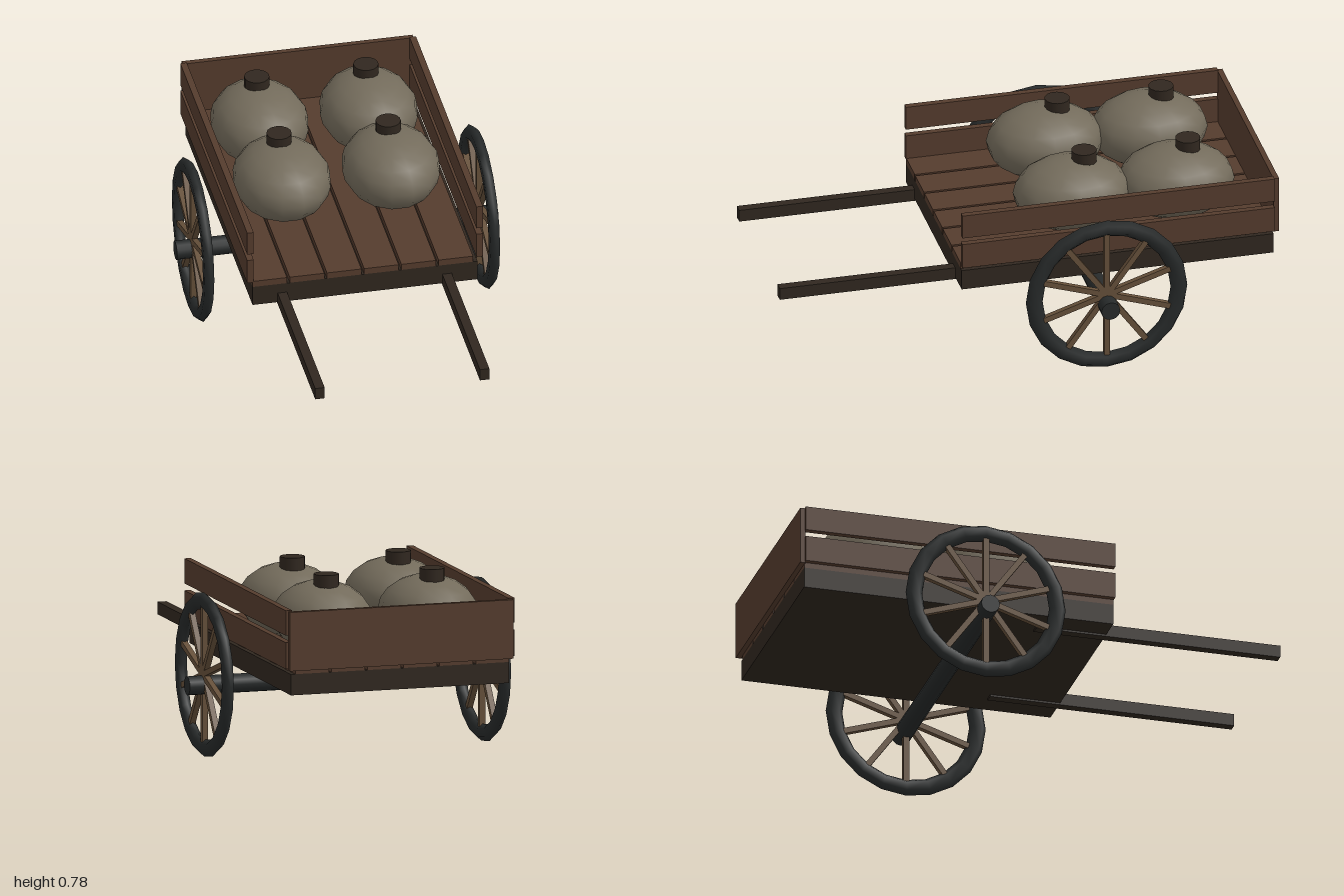
import * as THREE from 'three';

const mat = (color) => new THREE.MeshStandardMaterial({ color });

export function createModel() {
  const cart = new THREE.Group();
  cart.name = 'handCart';

  const wood = mat(0x553c2d);
  const darkWood = mat(0x30271f);
  const spokeWood = mat(0x66503a);
  const iron = mat(0x272a2a);
  const clay = mat(0x736b5b);

  const add = (parent, name, geometry, material, x = 0, y = 0, z = 0) => {
    const mesh = new THREE.Mesh(geometry, material);
    mesh.name = name;
    mesh.position.set(x, y, z);
    parent.add(mesh);
    return mesh;
  };
  // Box given by its minimum and maximum corners
  const box = (name, material, [x0, y0, z0], [x1, y1, z1]) =>
    add(cart, name, new THREE.BoxGeometry(x1 - x0, y1 - y0, z1 - z0), material,
      (x0 + x1) / 2, (y0 + y1) / 2, (z0 + z1) / 2);

  // Bed and floor planks
  box('bed', darkWood, [-0.455, 0.358, -0.98], [0.452, 0.442, 0.287]);
  for (let i = 0; i < 6; i++) {
    const x = -0.455 + i * 0.15;
    box('floorPlank', wood, [x, 0.442, -0.98], [x + 0.139, 0.468, 0.287]);
  }

  // Two rails on each side, one solid board at the back
  for (const side of [-1, 1]) {
    const xs = side < 0 ? [-0.477, -0.451] : [0.447, 0.473];
    box('lowerSideBoard', wood, [xs[0], 0.464, -0.98], [xs[1], 0.57, 0.289]);
    box('upperSideBoard', wood, [xs[0], 0.598, -0.98], [xs[1], 0.698, 0.289]);
  }
  box('backBoard', wood, [-0.467, 0.458, -1], [0.463, 0.694, -0.978]);

  // Pulling shafts
  for (const x of [-0.335, 0.329]) {
    box('shaft', darkWood, [x - 0.019, 0.35, 0], [x + 0.019, 0.4, 1]);
  }

  // Axle
  const axleZ = -0.271;
  add(cart, 'axle', new THREE.CylinderGeometry(0.038, 0.038, 1.296, 12), iron, 0, 0.29, axleZ)
    .rotation.z = Math.PI / 2;

  // Wheels: faceted tyre and ten spokes
  const tyre = new THREE.TorusGeometry(0.294, 0.034, 6, 20);
  tyre.scale(1, 1, 0.66);
  const spoke = new THREE.BoxGeometry(0.023, 0.275, 0.023);
  spoke.translate(0, 0.1375, 0);
  for (const side of [-1, 1]) {
    const wheel = new THREE.Group();
    wheel.name = side < 0 ? 'rightWheel' : 'leftWheel';
    wheel.position.set(side * 0.576, 0.331, axleZ);
    wheel.rotation.y = side * Math.PI / 2;
    add(wheel, 'tyre', tyre, iron);
    for (let i = 0; i < 10; i++) {
      add(wheel, 'spoke', spoke, spokeWood).rotation.z = i * Math.PI / 5;
    }
    cart.add(wheel);
  }

  // Four squat jars with off-centre stoppers
  const body = new THREE.SphereGeometry(1, 14, 10);
  body.scale(0.195, 0.145, 0.235);
  const stopper = new THREE.CylinderGeometry(0.05, 0.05, 0.075, 14);
  for (const x of [-0.23, 0.21]) {
    for (const z of [-0.22, -0.642]) {
      const jar = new THREE.Group();
      jar.name = 'jar';
      jar.position.set(x, 0.605, z);
      add(jar, 'jarBody', body, clay);
      add(jar, 'jarStopper', stopper, darkWood, 0, 0.1425, -0.05);
      cart.add(jar);
    }
  }

  return cart;
}
